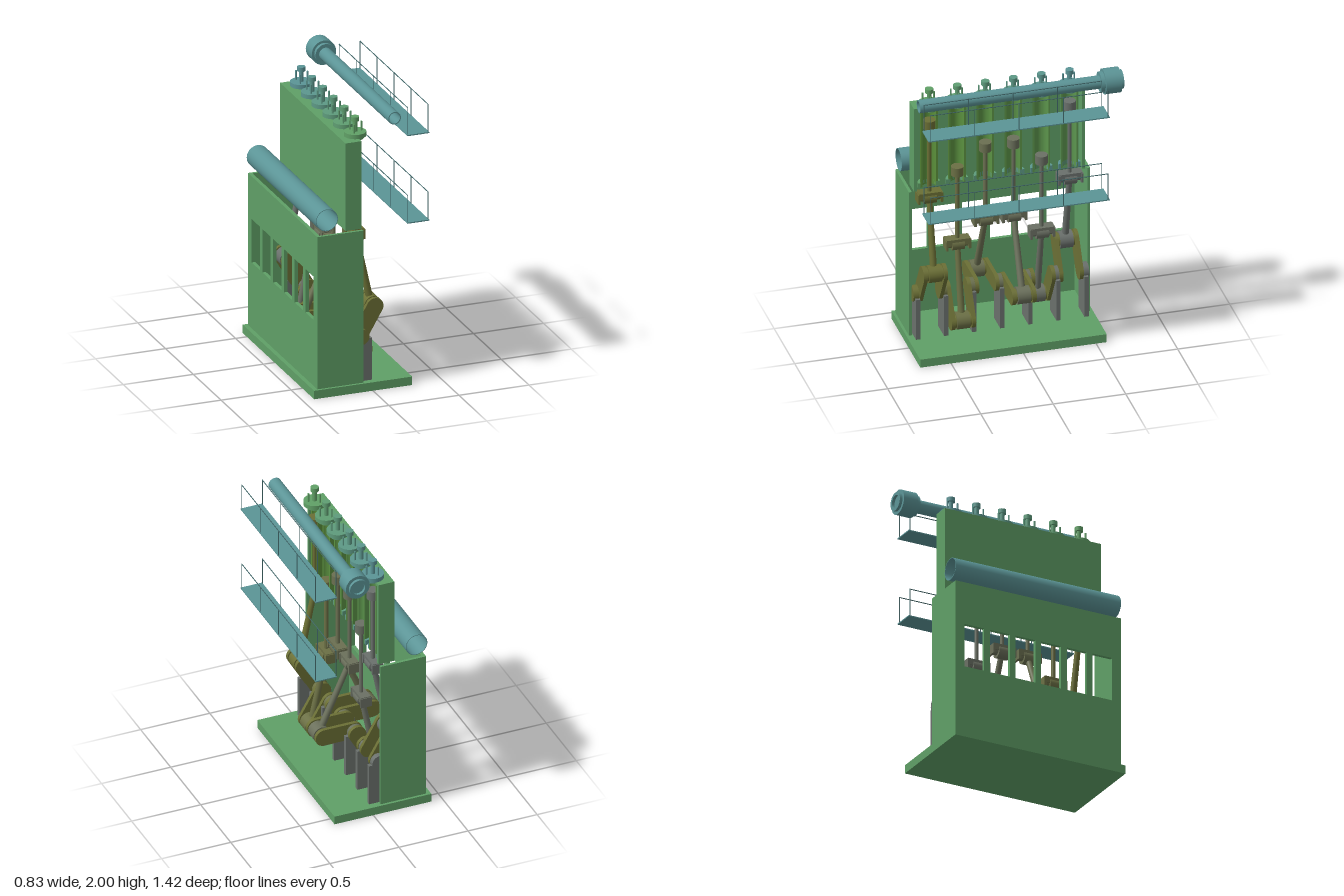
import * as THREE from 'three';

const GREEN = 0x5f9f66, TEAL = 0x5b9496, OLIVE = 0x6b6f35, GREY = 0x6a706c, BORE = 0x5a8f3a;
const ZC = 0.07, CX = -0.065, PITCH = 0.1936;   // engine middle, cylinder axis, cylinder spacing
const CRANK_Y = 0.375, THROW = 0.22, ROD = 0.54;
const ANGLES = [60, -60, 180, 0, 240, 120];     // crank angle of each cylinder

const mat = (color) => new THREE.MeshStandardMaterial({ color, side: THREE.DoubleSide });
const blend = (a, b, t) => new THREE.Color(a).lerp(new THREE.Color(b), t);

function add(parent, name, geo, color, x = 0, y = 0, z = 0) {
  const mesh = new THREE.Mesh(geo, mat(color));
  mesh.name = name;
  mesh.position.set(x, y, z);
  parent.add(mesh);
  return mesh;
}
// Box given by its limits
function box(parent, name, color, x0, x1, y0, y1, z0, z1) {
  return add(parent, name, new THREE.BoxGeometry(x1 - x0, y1 - y0, z1 - z0), color,
    (x0 + x1) / 2, (y0 + y1) / 2, (z0 + z1) / 2);
}
// Upright cylinder from y0 to y1
function post(parent, name, color, r, y0, y1, x, z, n = 24) {
  return add(parent, name, new THREE.CylinderGeometry(r, r, y1 - y0, n), color, x, (y0 + y1) / 2, z);
}
// Cylinder lying along z
function barrel(parent, name, color, r, len, x, y, z) {
  return add(parent, name, new THREE.CylinderGeometry(r, r, len, 32).rotateX(Math.PI / 2), color, x, y, z);
}
// Open-ended pipe with wall thickness, lying along z
function pipe(parent, name, color, R, r, z0, z1, x, y) {
  const pts = [[r, z0], [R, z0], [R, z0], [R, z1], [R, z1], [r, z1], [r, z1], [r, z0]]
    .map(([a, b]) => new THREE.Vector2(a, b));
  return add(parent, name, new THREE.LatheGeometry(pts, 40).rotateX(Math.PI / 2), color, x, y, 0);
}
// Half ring open towards +x
function halfRing(parent, name, color, R, r, y0, y1, z) {
  const s = new THREE.Shape();
  s.absarc(0, 0, R, Math.PI / 2, Math.PI * 1.5, false);
  s.absarc(0, 0, r, Math.PI * 1.5, Math.PI / 2, true);
  const geo = new THREE.ExtrudeGeometry(s, { depth: y1 - y0, bevelEnabled: false, curveSegments: 20 });
  return add(parent, name, geo.rotateX(-Math.PI / 2), color, CX, y0, z);
}
const zOf = (i) => ZC + PITCH * (2.5 - i);

// Crankcase: open at the top and on the running-gear side, windows in the rear wall
function crankcase(g) {
  const z0 = ZC - 0.625, z1 = ZC + 0.625, y0 = 0.06, y1 = 1.145;
  const s = new THREE.Shape();
  s.moveTo(z0, y0); s.lineTo(z1, y0); s.lineTo(z1, y1); s.lineTo(z0, y1); s.closePath();
  for (let i = 0; i < 6; i++) {
    const z = zOf(i), h = new THREE.Path();
    h.moveTo(z - 0.075, 0.53); h.lineTo(z - 0.075, 0.84);
    h.lineTo(z + 0.075, 0.84); h.lineTo(z + 0.075, 0.53); h.closePath();
    s.holes.push(h);
  }
  const geo = new THREE.ExtrudeGeometry(s, { depth: 0.025, bevelEnabled: false });
  add(g, 'windowWall', geo.rotateY(-Math.PI / 2), GREEN, -0.365);
  for (const z of [z0, z1 - 0.02]) box(g, 'crankcaseEnd', GREEN, -0.39, -0.06, y0, y1, z, z + 0.02);
}

// Cylinder block: rear shell, ends and deck around the sectioned liners
function cylinderBlock(g) {
  const z0 = ZC - 0.59, z1 = ZC + 0.59;
  box(g, 'blockBack', GREEN, -0.175, -0.15, 1.145, 1.77, z0, z1);
  box(g, 'blockDeck', GREEN, -0.175, -0.06, 1.75, 1.77, z0, z1);
  for (const z of [z0, z1 - 0.02]) box(g, 'blockEnd', GREEN, -0.175, -0.06, 1.145, 1.77, z, z + 0.02);
}

// Liner, cover, piston, crosshead, connecting rod and crank throw of one cylinder
function cylinderUnit(i) {
  const g = new THREE.Group(), z = zOf(i), t = i / 5;
  g.name = 'cylinderUnit';
  const a = THREE.MathUtils.degToRad(ANGLES[i]);
  const px = CX + THROW * Math.cos(a), py = CRANK_Y + THROW * Math.sin(a);
  const headY = py + Math.sqrt(ROD * ROD - (px - CX) ** 2);
  const steel = blend(OLIVE, GREY, t), cap = blend(0x60a066, TEAL, t);

  halfRing(g, 'liner', blend(BORE, GREEN, t * 0.4), 0.06, 0.047, 1.165, 1.77, z);
  halfRing(g, 'linerFlange', cap, 0.077, 0.047, 1.165, 1.2, z);

  // Cover with valve stem and three studs
  post(g, 'cover', cap, 0.075, 1.775, 1.805, CX, z, 40);
  post(g, 'coverSpigot', cap, 0.055, 1.755, 1.775, CX, z);
  post(g, 'valveStem', cap, 0.016, 1.805, 1.88, CX, z);
  post(g, 'valveCap', cap, 0.028, 1.88, 1.91, CX, z);
  for (let k = 0; k < 3; k++) {
    const b = k * Math.PI * 2 / 3;
    post(g, 'stud', cap, 0.006, 1.805, 1.87, CX + 0.045 * Math.cos(b), z + 0.045 * Math.sin(b), 10);
  }

  // Piston and rod
  post(g, 'piston', steel, 0.042, headY + 0.515, headY + 0.58, CX, z, 32);
  post(g, 'pistonRod', steel, 0.014, headY, headY + 0.52, CX, z);

  // Crosshead with shoes
  box(g, 'crosshead', steel, CX - 0.036, CX + 0.036, headY - 0.005, headY + 0.04, z - 0.08, z + 0.08);
  barrel(g, 'crossheadPin', steel, 0.03, 0.17, CX, headY, z);
  barrel(g, 'smallEnd', steel, 0.044, 0.085, CX, headY - 0.005, z);
  for (const s of [-1, 1])
    box(g, 'shoe', steel, CX - 0.04, CX + 0.04, headY - 0.035, headY + 0.035, z + s * 0.078 - 0.008, z + s * 0.078 + 0.008);

  // Connecting rod
  const rod = add(g, 'connectingRod', new THREE.CylinderGeometry(0.019, 0.024, ROD, 20), steel,
    (px + CX) / 2, (py + headY) / 2, z);
  rod.rotation.z = Math.atan2(px - CX, headY - py);
  barrel(g, 'bigEnd', steel, 0.06, 0.09, px, py, z);

  // Crank pin and two webs
  barrel(g, 'crankPin', OLIVE, 0.048, 0.15, px, py, z);
  const s = new THREE.Shape();
  s.absarc(0, 0, 0.06, Math.PI / 2, Math.PI * 1.5, false);
  s.absarc(THROW, 0, 0.06, -Math.PI / 2, Math.PI / 2, false);
  s.closePath();
  const webGeo = new THREE.ExtrudeGeometry(s, { depth: 0.026, bevelEnabled: false, curveSegments: 20 });
  for (const k of [-1, 1])
    add(g, 'crankWeb', webGeo, OLIVE, CX, CRANK_Y, z + k * 0.07 - 0.013).rotation.z = a;
  return g;
}

// Main journals and their pedestals
function mainBearings(g) {
  for (let k = 0; k < 7; k++) {
    const z = ZC + PITCH * (3 - k);
    barrel(g, 'mainJournal', blend(OLIVE, GREY, k / 6), 0.055, 0.05, CX, CRANK_Y, z);
    box(g, 'bearingPedestal', GREY, CX - 0.075, CX + 0.075, 0.06, 0.36, z - 0.015, z + 0.015);
  }
}

// Gallery with a railing on both long edges
function walkway(y) {
  const g = new THREE.Group(), z0 = -0.557, z1 = 0.692;
  g.name = 'walkway';
  box(g, 'deck', TEAL, 0.255, 0.41, y - 0.004, y + 0.004, z0, z1);
  for (const x of [0.258, 0.407]) {
    barrel(g, 'handrail', 0x3f6668, 0.003, z1 - z0 - 0.02, x, y + 0.197, (z0 + z1) / 2);
    for (let k = 0; k < 5; k++)
      post(g, 'railPost', 0x3f6668, 0.003, y, y + 0.2, x, z0 + 0.012 + k * (z1 - z0 - 0.024) / 4, 8);
  }
  return g;
}

export function createModel() {
  const g = new THREE.Group();
  g.name = 'sectionedEngine';
  box(g, 'bedplate', GREEN, -0.42, 0.28, 0, 0.06, ZC - 0.643, ZC + 0.643);
  crankcase(g);
  cylinderBlock(g);
  mainBearings(g);
  for (let i = 0; i < 6; i++) g.add(cylinderUnit(i));

  // Air receiver, exhaust pipe and turbocharger
  pipe(g, 'airReceiver', TEAL, 0.078, 0.074, -0.557, 0.692, -0.32, 1.255);
  pipe(g, 'exhaustPipe', TEAL, 0.045, 0.038, -0.57, 0.692, 0.163, 1.913);
  barrel(g, 'turboNeck', TEAL, 0.07, 0.03, 0.163, 1.913, -0.57);
  barrel(g, 'turboBody', TEAL, 0.087, 0.11, 0.163, 1.913, -0.635);
  pipe(g, 'turboInlet', TEAL, 0.065, 0.045, -0.71, -0.685, 0.163, 1.913);

  g.add(walkway(1.775), walkway(1.15));
  return g;
}
